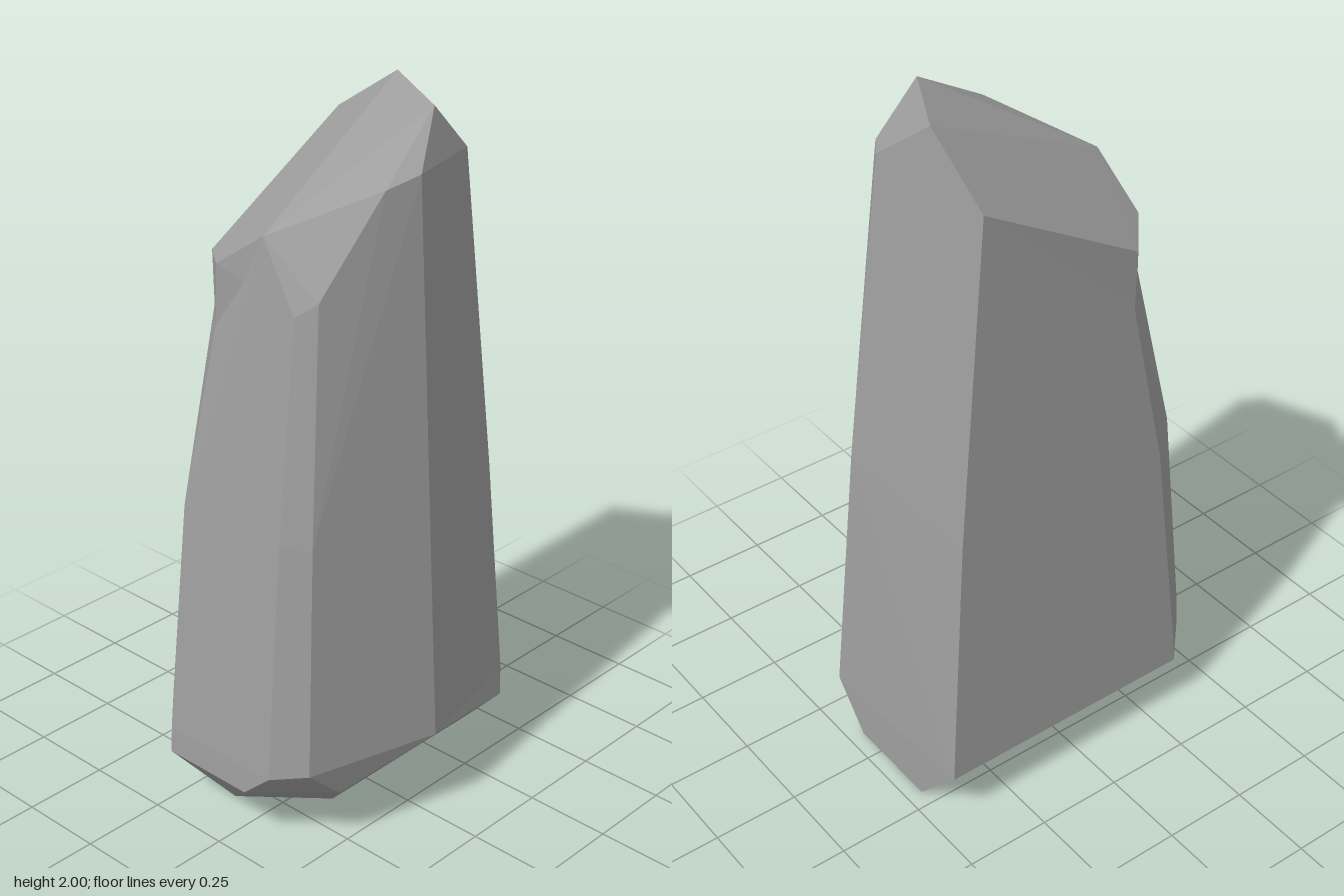
import * as THREE from 'three';
import { ConvexGeometry } from 'three/addons/geometries/ConvexGeometry.js';

const material = new THREE.MeshStandardMaterial({ color: 0x9e9e9e, flatShading: true });

// Faceted stone spanned by its corner points
function stone(name, corners) {
  const mesh = new THREE.Mesh(new ConvexGeometry(corners.map((c) => new THREE.Vector3(...c))), material);
  mesh.name = name;
  return mesh;
}

export function createModel() {
  // Slanted top, falling towards -x, with a steep lip at the back
  const top = [
    [0.275, 2, -0.065], [0.14, 1.985, 0.18], [-0.1, 1.835, 0.235], [-0.3, 1.715, 0.01], [0.28, 1.86, -0.28],
  ];
  const lip = [[-0.3, 1.6, -0.16], [-0.2, 1.58, -0.28]];
  const underLip = [[-0.297, 1.43, -0.17], [-0.187, 1.42, -0.29]];
  // Shoulder under the front of the top
  const frontShoulder = [[-0.285, 1.58, 0.185], [-0.003, 1.86, 0.265], [0.265, 1.85, 0.185]];
  const sideShoulder = [[0.295, 1.84, 0.14], [-0.32, 1.54, 0.135]];
  // Slight bulge at half height
  const frontWaist = [[-0.348, 0.93, 0.219], [0.348, 0.93, 0.225]];
  const waist = [
    [0.39, 0.93, 0.177], [0.387, 0.93, -0.323], [-0.27, 0.93, -0.323],
    [-0.395, 0.93, -0.207], [-0.395, 0.93, 0.145],
  ];
  // Widest level, above the undercut
  const frontFoot = [[-0.39, 0.27, 0.242], [-0.28, 0.17, 0.25], [0.4, 0.265, 0.25]];
  const foot = [
    [0.4, 0.17, 0.25], [0.45, 0.13, 0.212], [0.448, 0.17, -0.352], [-0.34, 0.17, -0.352],
    [-0.457, 0.17, -0.23], [-0.457, 0.17, 0.06], [-0.452, 0.25, 0.15],
    [-0.455, 0.25, -0.227], [-0.336, 0.25, -0.349],
  ];
  // Small flat base
  const base = [
    [0.454, 0, 0.09], [0.454, 0, -0.2], [-0.2, 0, -0.2], [-0.32, 0, -0.12], [-0.14, 0, 0.09],
  ];
  // Keel of the front, undercut on its +x side
  const keel = [[-0.003, 0.27, 0.35], [0.06, 0.17, 0.25]];
  const keelBack = [[-0.2, 0.6, 0], [0.2, 0.6, 0]];

  const group = new THREE.Group();
  group.name = 'standingStone';
  group.add(
    stone('body', [
      ...top, ...underLip, ...frontShoulder, ...sideShoulder, ...frontWaist, ...waist,
      ...frontFoot, ...foot, ...base,
    ]),
    stone('cap', [...top, ...lip, ...underLip, ...frontShoulder, ...sideShoulder]),
    stone('frontRidge', [...frontShoulder, ...frontWaist, ...frontFoot, ...keel, ...keelBack]),
  );
  return group;
}
